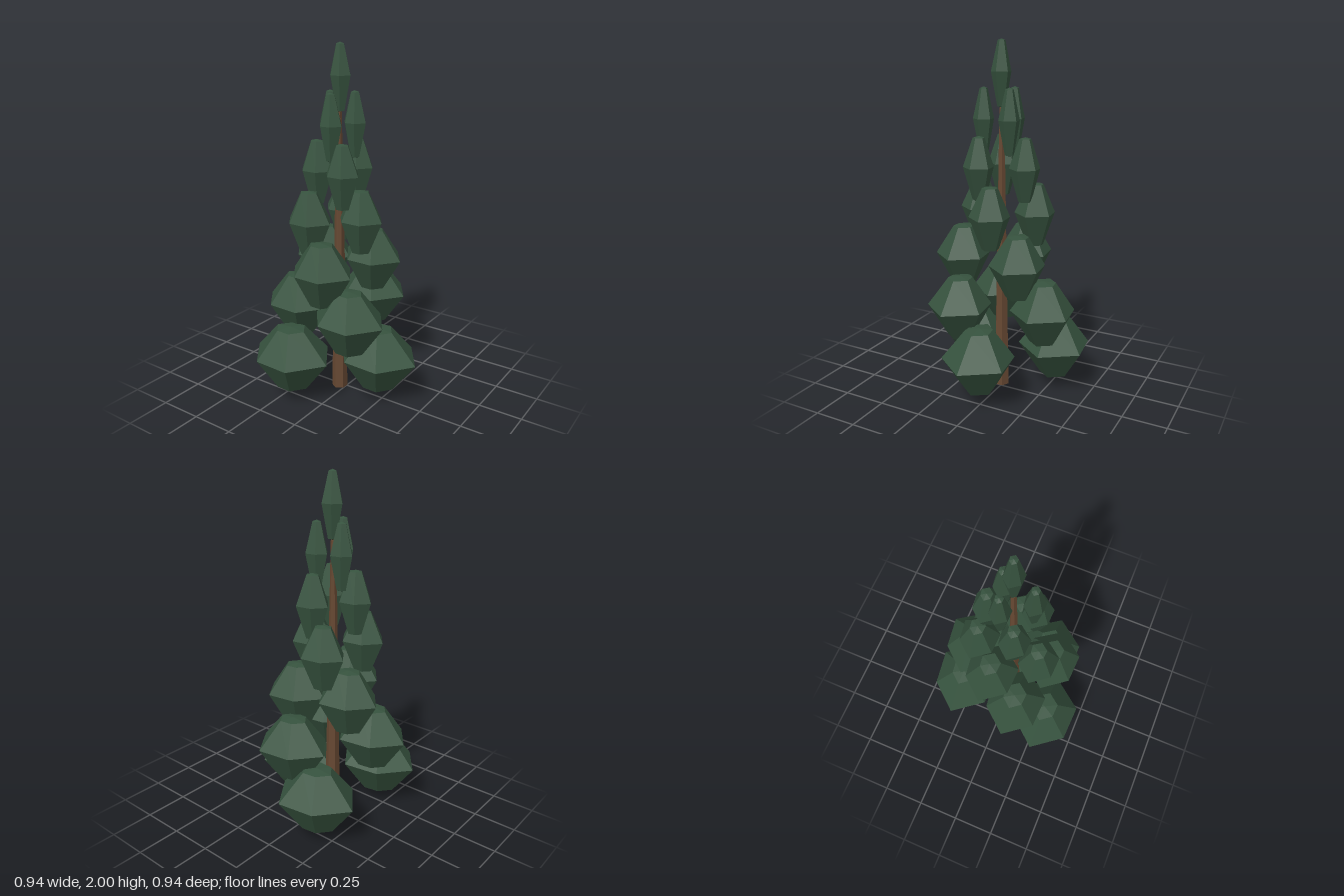
import * as THREE from 'three';

const needles = new THREE.MeshStandardMaterial({ color: 0x36523e });
needles.name = 'needle green';
const bark = new THREE.MeshStandardMaterial({ color: 0x664832 });
bark.name = 'bark brown';

// Reach of the six corners of a clump, from +x turning towards +z
const cornerReach = [1.04, 0.9, 0.86, 1, 0.81, 0.95];

// Faceted copy of a geometry
function faceted(geometry) {
  const flat = geometry.toNonIndexed();
  flat.computeVertexNormals();
  return flat;
}

// Slightly uneven six-sided clump, standing on y = 0, with a corner towards +x
function clumpGeometry(radius, height) {
  const profile = [[0, 0], [0.42, 0.02], [1, 0.53], [0.38, 0.975], [0, 1]]
    .map(([r, y]) => new THREE.Vector2(r * radius, y * height));
  const geometry = new THREE.LatheGeometry(profile, 6).rotateY(Math.PI / 6);
  const position = geometry.attributes.position;
  for (let i = 0; i < position.count; i++) {
    const x = position.getX(i), z = position.getZ(i);
    const corner = (Math.round(Math.atan2(z, x) / (Math.PI / 3)) + 6) % 6;
    position.setX(i, x * cornerReach[corner]);
    position.setZ(i, z * cornerReach[corner]);
  }
  return faceted(geometry);
}

export function createModel() {
  const tree = new THREE.Group();
  tree.name = 'tree';

  // Tapering trunk
  const trunk = new THREE.Mesh(faceted(new THREE.CylinderGeometry(0.015, 0.046, 1.64, 6)), bark);
  trunk.name = 'trunk';
  trunk.position.set(-0.04, 0.82, 0.014);
  tree.add(trunk);

  // Tiers of three clumps, each turned about 40 degrees from the one below, and the tip
  const tiers = [
    // base y, height, clump radius, clump centres [x, z]
    [0.08, 0.37, 0.24, [[0.22, 0.015], [-0.19, 0.285], [-0.17, -0.275]]],
    [0.345, 0.36, 0.212, [[0.135, 0.183], [-0.258, 0.108], [0.002, -0.273]]],
    [0.61, 0.36, 0.182, [[-0.003, 0.238], [-0.21, -0.06], [0.075, -0.148]]],
    [0.87, 0.36, 0.133, [[0.098, 0.012], [-0.12, 0.187], [-0.115, -0.162]]],
    [1.13, 0.36, 0.1, [[0.045, 0.11], [-0.155, 0.062], [-0.025, -0.138]]],
    [1.385, 0.365, 0.068, [[-0.024, 0.116], [-0.124, -0.023], [0.012, -0.06]]],
    [1.64, 0.36, 0.064, [[-0.034, 0.012]]],
  ];
  tiers.forEach(([y, height, radius, centres], i) => {
    const tier = new THREE.Group();
    tier.name = centres.length > 1 ? `branchTier${i + 1}` : 'treeTip';
    const geometry = clumpGeometry(radius, height);
    for (const [x, z] of centres) {
      const clump = new THREE.Mesh(geometry, needles);
      clump.name = 'branchClump';
      clump.position.set(x, y, z);
      tier.add(clump);
    }
    tree.add(tier);
  });

  return tree;
}
